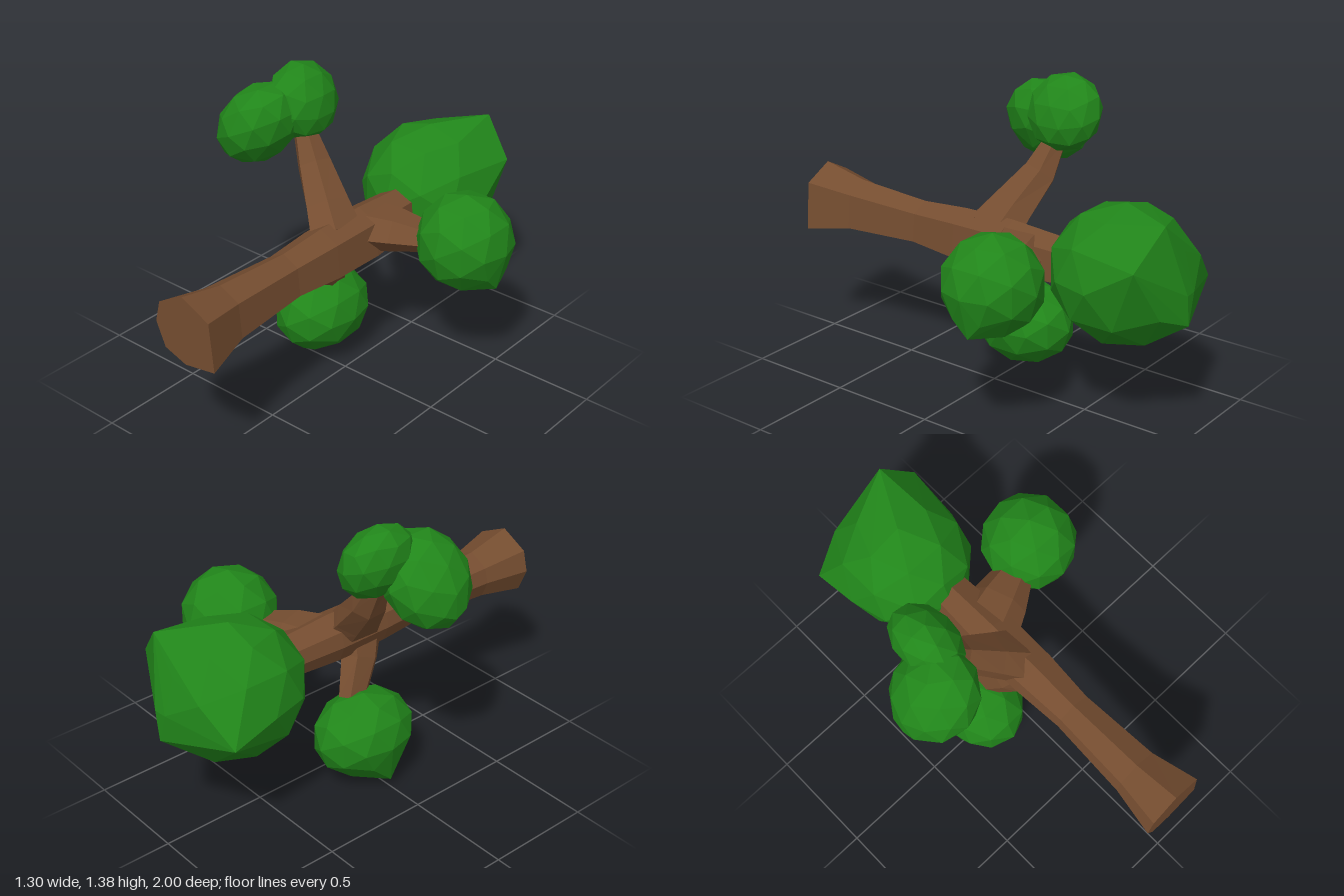
import * as THREE from 'three';
import { ConvexGeometry } from 'three/addons/geometries/ConvexGeometry.js';

const bark = new THREE.MeshStandardMaterial({ color: 0x754d30, flatShading: true });
const leaf = new THREE.MeshStandardMaterial({ color: 0x21861a, flatShading: true });

// Sweeps a section through rings [x, y, z, sizeA, sizeB]; axis A follows ref
function limb(name, rings, section, ref) {
  const centres = rings.map(r => new THREE.Vector3(r[0], r[1], r[2]));
  const n = section.length, pos = [], idx = [];
  centres.forEach((c, k) => {
    const t = centres[Math.min(k + 1, centres.length - 1)].clone()
      .sub(centres[Math.max(k - 1, 0)]).normalize();
    const a = ref.clone().addScaledVector(t, -ref.dot(t)).normalize();
    const b = t.clone().cross(a);
    for (const [u, v] of section) {
      const p = c.clone().addScaledVector(a, u * rings[k][3]).addScaledVector(b, v * rings[k][4]);
      pos.push(p.x, p.y, p.z);
    }
  });
  for (let k = 0; k < rings.length - 1; k++) {
    for (let i = 0; i < n; i++) {
      const p = k * n + i, q = k * n + (i + 1) % n;
      idx.push(p, q, q + n, p, q + n, p + n);
    }
  }
  // End caps
  const last = (rings.length - 1) * n;
  for (let i = 1; i < n - 1; i++) {
    idx.push(0, i + 1, i, last, last + i, last + i + 1);
  }
  const geo = new THREE.BufferGeometry();
  geo.setAttribute('position', new THREE.Float32BufferAttribute(pos, 3));
  geo.setIndex(idx);
  const flat = geo.toNonIndexed();
  flat.computeVertexNormals();
  const mesh = new THREE.Mesh(flat, bark);
  mesh.name = name;
  return mesh;
}

// Faceted leaf clump: a tilted ellipsoid stretched out to a few sharp corners
function clump(name, centre, radii, tilt = 0, corners = []) {
  const ball = new THREE.IcosahedronGeometry(1, 1);
  ball.scale(...radii).rotateZ(tilt).translate(...centre);
  const p = ball.attributes.position, seen = new Map();
  for (let i = 0; i < p.count; i++) {
    const v = new THREE.Vector3().fromBufferAttribute(p, i);
    seen.set(v.toArray().map(c => c.toFixed(4)).join(), v);
  }
  const points = [...seen.values(), ...corners.map(c => new THREE.Vector3(...c))];
  const mesh = new THREE.Mesh(new ConvexGeometry(points), leaf);
  mesh.name = name;
  return mesh;
}

export function createModel() {
  const tree = new THREE.Group();
  tree.name = 'fallenTree';

  // Uneven seven-sided trunk, lying along z with its foot at the front
  const trunkSection = [[0.17, 0], [0.1, 0.14], [-0.125, 0.16], [-0.15, 0],
    [-0.11, -0.11], [0, -0.155], [0.1, -0.13]];
  const trunk = [[1, 1], [0.78, 0.71], [0.4, 0.58], [0.16, 0.69], [-0.1, 0.71], [-0.38, 0.6]]
    .map(([z, s], i) => [i ? -0.005 : 0, 0.68, z, s, s]);
  tree.add(limb('trunk', trunk, trunkSection, new THREE.Vector3(0, 1, 0)));

  // Six-sided branches, wide where they leave the trunk
  const hexagon = Array.from({ length: 6 }, (_, i) => {
    const a = i * Math.PI / 3;
    return [Math.cos(a), Math.sin(a)];
  });
  const zAxis = new THREE.Vector3(0, 0, 1);
  tree.add(
    limb('leftBranch', [[0.02, 0.69, -0.16, 0.15, 0.1], [0.13, 0.69, -0.2, 0.13, 0.09],
      [0.3, 0.68, -0.26, 0.08, 0.055]], hexagon, zAxis),
    limb('upperBranch', [[-0.02, 0.71, 0.03, 0.15, 0.1], [-0.11, 0.81, -0.01, 0.12, 0.09],
      [-0.24, 0.95, -0.07, 0.085, 0.075], [-0.33, 1.1, -0.1, 0.05, 0.05]], hexagon, zAxis),
    limb('lowerBranch', [[-0.02, 0.66, 0.06, 0.13, 0.07], [-0.065, 0.56, 0.03, 0.1, 0.06],
      [-0.12, 0.4, -0.06, 0.075, 0.04]], hexagon, zAxis),
  );

  // Leaf clumps
  tree.add(
    clump('crown', [-0.04, 0.68, -0.66], [0.31, 0.315, 0.335], 0,
      [[0.1, 0.99, -0.93], [-0.36, 0.62, -0.88], [0, 0.54, -1], [0.02, 0.68, -1],
        [0.25, 0.82, -0.88]]),
    clump('leftClump', [0.425, 0.695, -0.315], [0.222, 0.225, 0.225], 0, [[0.6, 0.51, -0.32]]),
    clump('upperFrontClump', [-0.465, 1.125, 0.04], [0.225, 0.165, 0.2], 0.87,
      [[-0.65, 1.01, 0.04]]),
    clump('upperBackClump', [-0.35, 1.215, -0.125], [0.13, 0.18, 0.183], 0.4),
    clump('lowerClump', [-0.175, 0.25, -0.04], [0.2, 0.2, 0.25], 0,
      [[-0.25, 0, 0.01], [-0.32, 0.04, 0]]),
  );
  return tree;
}
